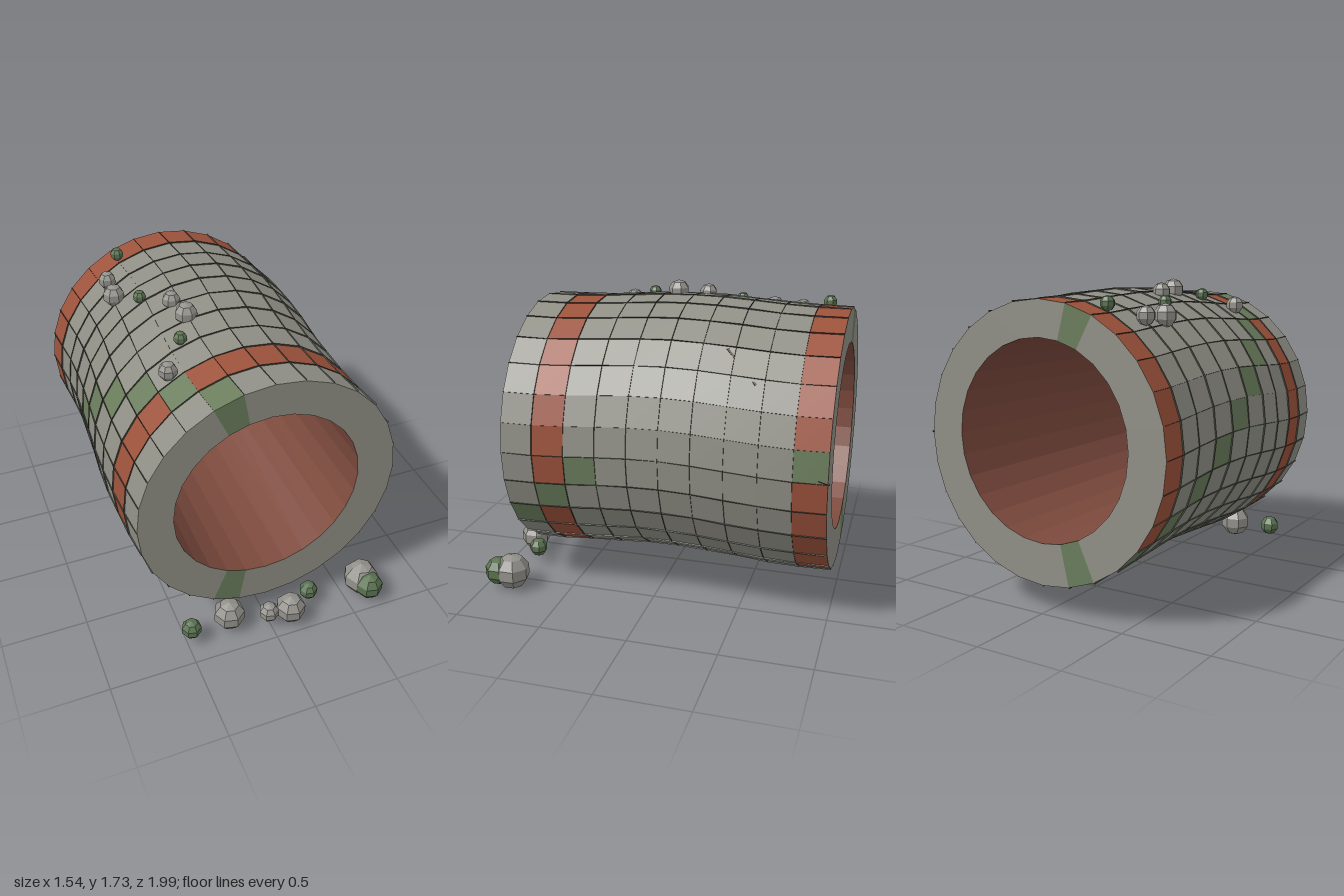
import * as THREE from 'three';

const SIDES = 28, RINGS = 10, CY = 0.92, R_OUT = 0.745, R_IN = 0.535, Z0 = 0.79, Z1 = -0.99;

const mat = (name, color, extra = {}) => {
  const m = new THREE.MeshStandardMaterial({ color, flatShading: true, ...extra });
  m.name = name;
  return m;
};

// Point on the slightly crooked tube: the axis wanders in a small helix
function shell(k, i, r = R_OUT) {
  const a = (k / SIDES) * Math.PI * 2;
  const z = Z0 + (Z1 - Z0) * (i / RINGS);
  const p = 4 * (z + 0.55);
  return [r * Math.cos(a) + 0.018 * Math.cos(p), CY + r * Math.sin(a) + 0.018 * Math.sin(p), z];
}

// Point on the straight bore
function bore(k, z) {
  const a = (k / SIDES) * Math.PI * 2;
  return [R_IN * Math.cos(a), CY + R_IN * Math.sin(a), z];
}

const quad = (out, a, b, c, d) => out.push(...a, ...b, ...c, ...a, ...c, ...d);

function quadMesh(name, positions, material) {
  const g = new THREE.BufferGeometry();
  g.setAttribute('position', new THREE.Float32BufferAttribute(positions, 3));
  g.computeVertexNormals();
  const m = new THREE.Mesh(g, material);
  m.name = name;
  return m;
}

export function createModel() {
  const group = new THREE.Group();
  group.name = 'stonePipe';
  const stone = mat('stone', 0x908f86);
  const moss = mat('moss', 0x6a7d5c);
  const rust = mat('rustBand', 0x9c523b);
  const lining = mat('innerLining', 0x7d4a3d);
  const seam = mat('darkSeam', 0x45463e, { side: THREE.DoubleSide });
  const pebbleGrey = mat('pebbleGrey', 0x94928c);
  const pebbleMoss = mat('pebbleMoss', 0x5a7250);
  const crackMat = mat('crack', 0x4a2f28);

  // Outer blocks: stone, two rust bands and a winding trail of moss
  const blocks = { stone: [], moss: [], rust: [] };
  for (let i = 0; i < RINGS; i++) {
    for (let k = 0; k < SIDES; k++) {
      const mossy = (k - i + 17) % 17 === 8;
      const kind = mossy ? 'moss' : i === 1 || i === 9 ? 'rust' : 'stone';
      quad(blocks[kind], shell(k, i), shell(k, i + 1), shell(k + 1, i + 1), shell(k + 1, i));
    }
  }
  group.add(
    quadMesh('outerStone', blocks.stone, stone),
    quadMesh('outerMoss', blocks.moss, moss),
    quadMesh('rustBands', blocks.rust, rust)
  );

  // End rims and the bore
  const rim = [], rimMoss = [], inner = [];
  for (let k = 0; k < SIDES; k++) {
    const out = k % 11 === 8 ? rimMoss : rim;
    quad(out, bore(k, Z0), shell(k, 0), shell(k + 1, 0), bore(k + 1, Z0));
    quad(out, bore(k + 1, Z1), shell(k + 1, RINGS), shell(k, RINGS), bore(k, Z1));
    quad(inner, bore(k, Z0), bore(k + 1, Z0), bore(k + 1, Z1), bore(k, Z1));
  }
  group.add(
    quadMesh('endRims', rim, stone),
    quadMesh('endRimMoss', rimMoss, moss),
    quadMesh('innerLining', inner, lining)
  );

  // Thin raised seams between the blocks, uneven in height
  const fins = [];
  const lift = (k, i) => R_OUT + 0.004 + 0.005 * Math.abs(Math.sin(k * 2.7 + i * 1.9));
  const fin = (k0, i0, k1, i1) => quad(fins,
    shell(k0, i0, R_OUT - 0.002), shell(k1, i1, R_OUT - 0.002),
    shell(k1, i1, lift(k1 % SIDES, i1)), shell(k0, i0, lift(k0, i0)));
  for (let k = 0; k < SIDES; k++) {
    for (let i = 0; i < RINGS; i++) {
      fin(k, i, k, i + 1);
      if (i > 0) fin(k, i, k + 1, i);
    }
  }
  group.add(quadMesh('blockSeams', fins, seam));

  // Pebbles
  const pebble = (name, x, y, z, r, mossy) => {
    const m = new THREE.Mesh(new THREE.SphereGeometry(r, 7, 5), mossy ? pebbleMoss : pebbleGrey);
    m.position.set(x, y, z);
    m.name = name;
    group.add(m);
  };
  // x, z, radius, mossy: resting along the top
  [
    [-0.32, -0.84, 0.04, 1], [-0.435, -0.665, 0.052, 0], [-0.445, -0.49, 0.064, 0],
    [-0.34, -0.315, 0.038, 1], [-0.21, -0.135, 0.052, 0], [-0.185, 0.04, 0.064, 0],
    [-0.28, 0.215, 0.038, 1], [-0.41, 0.39, 0.052, 0],
  ].forEach(([x, z, r, g]) =>
    pebble('topPebble', x, CY + Math.sqrt(0.775 ** 2 - x * x), z, r, g));
  // x, z, radius, mossy: scattered on the ground in front
  [
    [-0.47, 0.845, 0.06, 1], [-0.23, 0.82, 0.094, 0], [-0.01, 0.89, 0.06, 0],
    [0.12, 0.905, 0.09, 0], [0.275, 0.82, 0.056, 1], [0.615, 0.835, 0.105, 0], [0.63, 0.915, 0.083, 1],
  ].forEach(([x, z, r, g]) => pebble('groundPebble', x, 0.11, z, r, g));

  // Dark cracks
  const crack = (a, b, r) => {
    const path = new THREE.LineCurve3(new THREE.Vector3(...a), new THREE.Vector3(...b));
    const m = new THREE.Mesh(new THREE.TubeGeometry(path, 1, r, 5), crackMat);
    m.name = 'crack';
    group.add(m);
  };
  crack([0.485, 1.5, -0.41], [0.615, 1.35, -0.59], 0.009);
  crack([0.74, 0.92, -0.94], [0.742, 0.905, -1.0], 0.006);

  return group;
}
